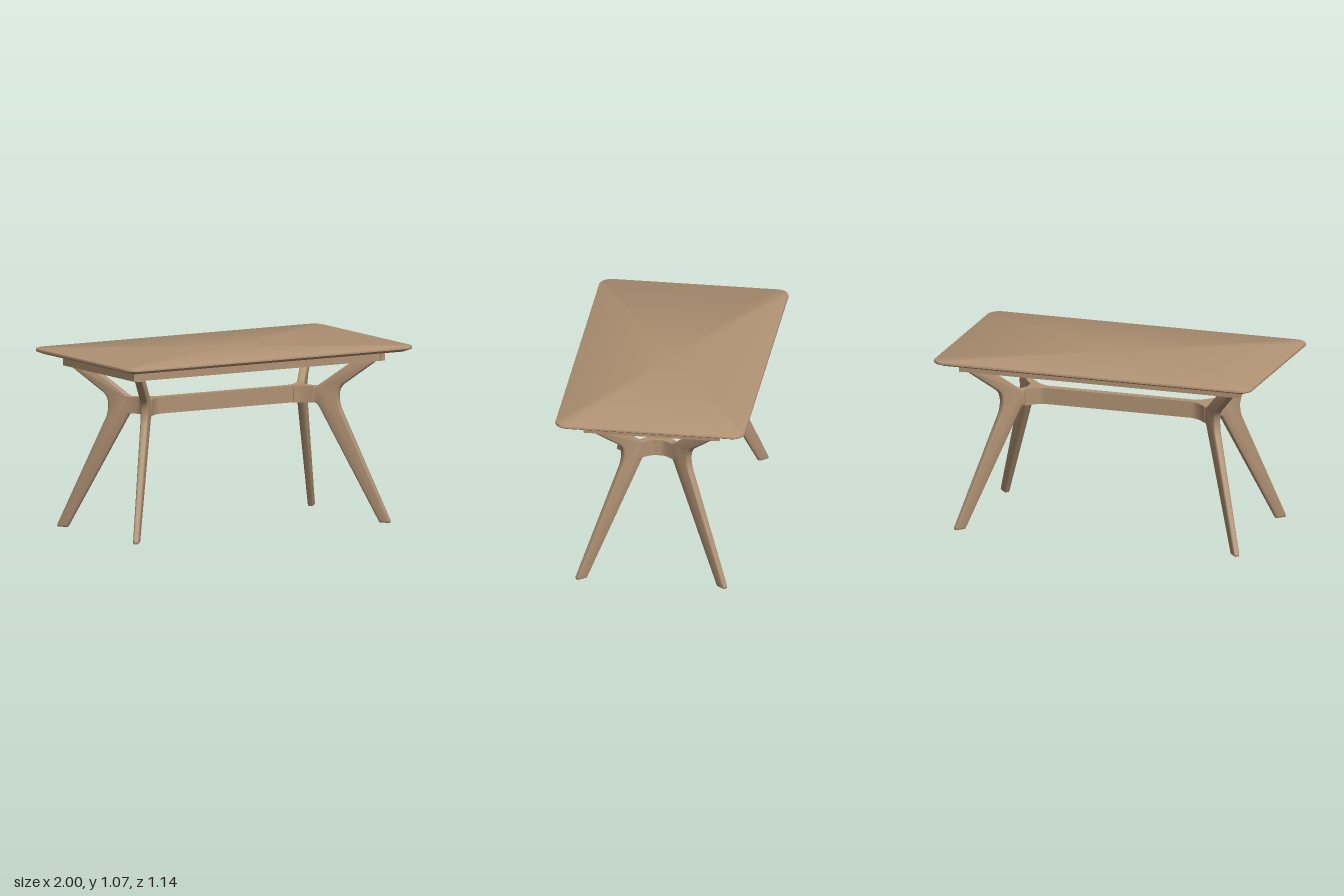
import * as THREE from 'three';
import { toCreasedNormals } from 'three/addons/utils/BufferGeometryUtils.js';

const wood = new THREE.MeshStandardMaterial({ color: 0xb09273 });
wood.name = 'wood';

const SPLAY = THREE.MathUtils.degToRad(50); // plan angle of each leg from the x axis
const APEX = 0.51; // x where the leg planes cross z = 0

function add(parent, geometry, name, x = 0, y = 0, z = 0) {
  const mesh = new THREE.Mesh(geometry, wood);
  mesh.name = name;
  mesh.position.set(x, y, z);
  parent.add(mesh);
  return mesh;
}

// Rounded-rectangle ring of plan points
function ring(hx, hz, r, steps = 8) {
  const pts = [];
  [[1, 1], [-1, 1], [-1, -1], [1, -1]].forEach(([sx, sz], q) => {
    for (let i = 0; i <= steps; i++) {
      const a = (q + i / steps) * Math.PI / 2;
      pts.push([sx * (hx - r) + r * Math.cos(a), sz * (hz - r) + r * Math.sin(a)]);
    }
  });
  return pts;
}

// Table top: stacked rings with a deep under-bevel and a small upper bevel
function topGeometry() {
  const layers = [[0.048, 1.037], [0.004, 1.053], [0, 1.057], [0, 1.066], [0.002, 1.07], [0.008, 1.073]];
  const pos = [], index = [];
  let n = 0;
  for (const [inset, y] of layers) {
    const pts = ring(1 - inset, 0.57 - inset, 0.075 - inset);
    n = pts.length;
    pts.forEach(([x, z]) => pos.push(x, y, z));
  }
  const last = layers.length - 1;
  pos.push(0, layers[0][1], 0, 0, layers[last][1], 0);
  const bottom = layers.length * n;
  for (let i = 0; i < n; i++) {
    const j = (i + 1) % n;
    for (let k = 0; k < last; k++) {
      const a = k * n + i, b = k * n + j;
      index.push(a, a + n, b, b, a + n, b + n);
    }
    index.push(bottom, i, j, bottom + 1, last * n + j, last * n + i);
  }
  const g = new THREE.BufferGeometry();
  g.setAttribute('position', new THREE.Float32BufferAttribute(pos, 3));
  g.setIndex(index);
  return toCreasedNormals(g, 0.5);
}

// Leg: flat bent board, thinner towards the foot, with eased edges
function legGeometry() {
  const k = 1 / Math.sin(SPLAY); // z offset -> length along the board
  const s = new THREE.Shape();
  s.moveTo(0.085 * k, 0.705);
  s.quadraticCurveTo(0.1 * k, 0.705, 0.108 * k, 0.685);
  s.lineTo(0.4 * k, 0);
  s.lineTo(0.448 * k, 0);
  s.lineTo(0.45 * k, 0.012);
  s.lineTo(0.215 * k, 0.67);
  s.bezierCurveTo(0.198 * k, 0.72, 0.195 * k, 0.795, 0.228 * k, 0.825);
  s.lineTo(0.377 * k, 0.966);
  s.lineTo(0.375 * k, 0.975);
  s.lineTo(0.28 * k, 0.975);
  s.lineTo(0.112 * k, 0.818);
  s.quadraticCurveTo(0.098 * k, 0.805, 0.085 * k, 0.805);
  const t = 0.046, b = 0.012;
  const g = new THREE.ExtrudeGeometry(s, {
    depth: t - 2 * b, bevelThickness: b, bevelSize: b, bevelOffset: -b, bevelSegments: 3, curveSegments: 10,
  });
  g.translate(0, 0, b - t / 2);
  const p = g.attributes.position;
  for (let i = 0; i < p.count; i++) {
    p.setZ(i, p.getZ(i) * (0.78 + 0.22 * Math.min(1, p.getY(i) / 0.7)));
  }
  return toCreasedNormals(g, 0.6);
}

// Bridge: curved block that joins the two legs of one end
function bridgeGeometry() {
  const s = new THREE.Shape();
  s.moveTo(0.465, -0.03);
  s.lineTo(0.465, 0.03);
  s.quadraticCurveTo(0.505, 0.03, 0.564, 0.1);
  s.lineTo(0.624, 0.1);
  s.quadraticCurveTo(0.575, 0.042, 0.575, 0.018);
  s.lineTo(0.575, -0.018);
  s.quadraticCurveTo(0.575, -0.042, 0.624, -0.1);
  s.lineTo(0.564, -0.1);
  s.quadraticCurveTo(0.505, -0.03, 0.465, -0.03);
  const g = new THREE.ExtrudeGeometry(s, { depth: 0.1, bevelEnabled: false, curveSegments: 10 });
  g.rotateX(Math.PI / 2).translate(0, 0.805, 0);
  return toCreasedNormals(g, 0.6);
}

// Screw head: disc with a cross-shaped recess
function screwGeometry() {
  const s = new THREE.Shape().absarc(0, 0, 0.015, 0, Math.PI * 2);
  const a = 0.002, b = 0.01;
  const cross = [[a, a], [a, b], [-a, b], [-a, a], [-b, a], [-b, -a], [-a, -a], [-a, -b], [a, -b], [a, -a], [b, -a], [b, a]];
  s.holes.push(new THREE.Path(cross.map(([x, y]) => new THREE.Vector2(x, y))));
  const g = new THREE.ExtrudeGeometry(s, { depth: 0.005, bevelEnabled: false, curveSegments: 16 });
  return g.rotateY(Math.PI / 2);
}

export function createModel() {
  const table = new THREE.Group();
  table.name = 'table';
  add(table, topGeometry(), 'tableTop');

  // Apron frame under the top
  const endRail = new THREE.BoxGeometry(0.03, 0.063, 0.82);
  const longRail = new THREE.BoxGeometry(1.69, 0.063, 0.03);
  for (const s of [-1, 1]) {
    add(table, endRail, 'endRail', s * 0.86, 1.0055, 0);
    add(table, longRail, 'longRail', 0, 1.0055, s * 0.39);
  }
  const crossBar = new THREE.BoxGeometry(0.05, 0.037, 0.75);
  for (const x of [-0.72, 0, 0.72]) add(table, crossBar, 'crossBar', x, 1.0185, 0);

  // Long stretcher between the two leg frames
  add(table, new THREE.BoxGeometry(0.93, 0.1, 0.05), 'stretcher', 0, 0.755, 0);

  // Leg frames
  const leg = legGeometry(), bridge = bridgeGeometry(), screw = screwGeometry();
  for (const sx of [-1, 1]) {
    const frame = new THREE.Group();
    frame.name = 'legFrame';
    frame.rotation.y = sx < 0 ? Math.PI : 0;
    table.add(frame);
    add(frame, bridge, 'bridge');
    for (const sz of [-1, 1]) add(frame, leg, 'leg', APEX).rotation.y = -sz * SPLAY;
    for (const y of [0.728, 0.779]) add(frame, screw, 'screw', 0.575, y, 0);
  }
  return table;
}
